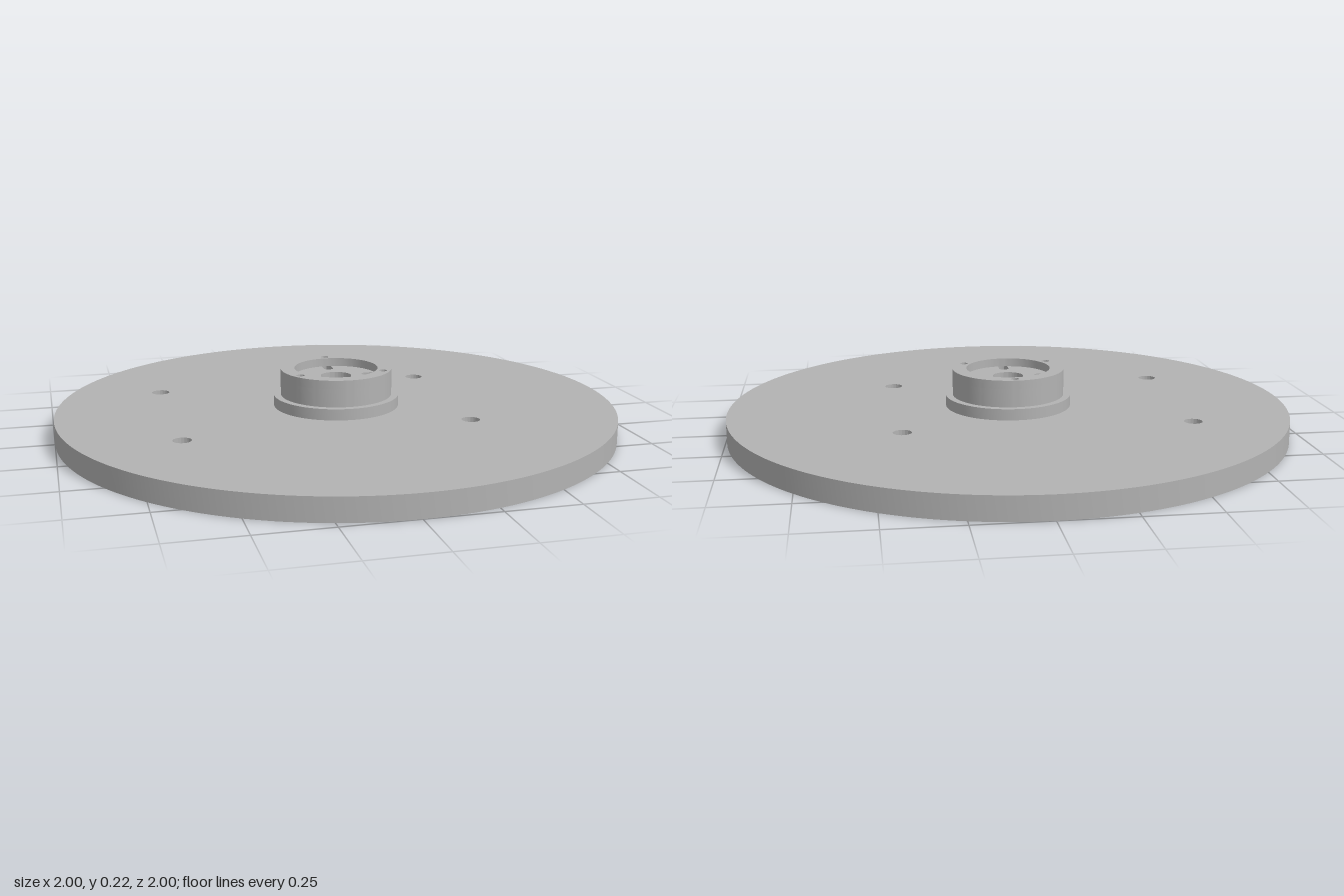
import * as THREE from 'three';
import { toCreasedNormals } from 'three/addons/utils/BufferGeometryUtils.js';

const steel = new THREE.MeshStandardMaterial({ color: 0xb3b3b3 });
steel.name = 'grey steel';

// Circular outline, also used for round holes
function circle(path, x, y, r) {
  path.absarc(x, y, r, 0, Math.PI * 2, false);
  return path;
}
const hole = (x, y, r) => circle(new THREE.Path(), x, y, r);

// Radial slot with rounded ends, from radius a to radius b
function slot(angle, a, b, r) {
  const c = Math.cos(angle), s = Math.sin(angle);
  const path = new THREE.Path();
  path.absarc(a * c, a * s, r, angle + Math.PI / 2, angle + Math.PI * 1.5, false);
  path.absarc(b * c, b * s, r, angle - Math.PI / 2, angle + Math.PI / 2, false);
  path.closePath();
  return path;
}

// Flat disc with holes, lying between two heights
function disc(name, radius, bottom, top, holes, segments) {
  const shape = circle(new THREE.Shape(), 0, 0, radius);
  shape.holes.push(...holes);
  const geometry = new THREE.ExtrudeGeometry(shape, {
    depth: top - bottom, bevelEnabled: false, curveSegments: segments,
  });
  geometry.rotateX(-Math.PI / 2);
  geometry.translate(0, bottom, 0);
  const mesh = new THREE.Mesh(toCreasedNormals(geometry, 0.6), steel);
  mesh.name = name;
  return mesh;
}

export function createModel() {
  const model = new THREE.Group();
  model.name = 'facePlate';
  const quarters = [0, 1, 2, 3].map((i) => (i * Math.PI) / 2);
  const bore = () => hole(0, 0, 0.055);
  const slots = () => quarters.map((a) => slot(a, 0.114, 0.165, 0.0175));

  // Wide plate: centre bore, four access holes and four offset mounting holes
  const access = quarters.map((a) => hole(0.15 * Math.cos(a), 0.15 * Math.sin(a), 0.046));
  const mounting = [];
  for (const x of [-0.6, 0.4]) for (const y of [-0.32, 0.32]) mounting.push(hole(x, y, 0.032));
  model.add(disc('plate', 1, 0, 0.08, [bore(), ...access, ...mounting], 96));

  // Stepped hub with radial slots through its floor
  model.add(disc('hubFlange', 0.225, 0.08, 0.12, [bore(), ...slots()], 64));
  model.add(disc('hubBody', 0.2, 0.12, 0.185, [bore(), ...slots()], 64));

  // Raised rim around the recess, with three screw holes
  const screws = [90, 210, 330].map((d) => {
    const a = THREE.MathUtils.degToRad(d);
    return hole(0.174 * Math.cos(a), 0.174 * Math.sin(a), 0.014);
  });
  model.add(disc('hubRim', 0.2, 0.185, 0.215, [hole(0, 0, 0.15), ...screws], 64));

  return model;
}
